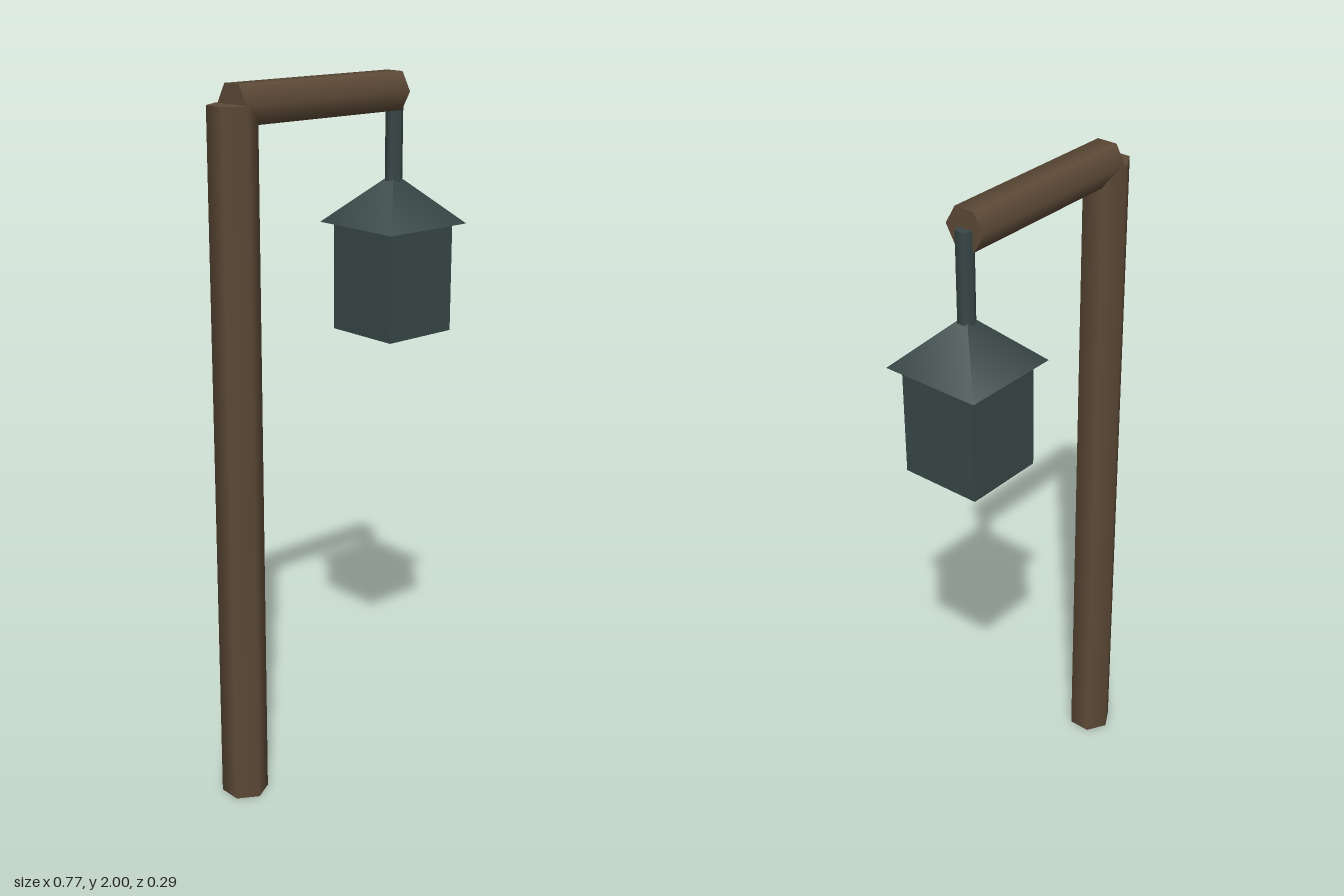
import * as THREE from 'three';

export function createModel() {
  const group = new THREE.Group();
  const wood = new THREE.MeshStandardMaterial({ name: 'brown wood', color: 0x5d4a37 });
  const iron = new THREE.MeshStandardMaterial({ name: 'dark grey-green iron', color: 0x394847 });

  const postX = -0.326, lampX = 0.237;

  const add = (name, geometry, material, x, y) => {
    const mesh = new THREE.Mesh(geometry, material);
    mesh.name = name;
    mesh.position.set(x, y, 0);
    group.add(mesh);
    return mesh;
  };
  const hexRod = (radius, length) => new THREE.CylinderGeometry(radius, radius, length, 6);

  // Upright post and the arm resting on its top
  add('post', hexRod(0.066, 1.949), wood, postX, 0.9745);
  const arm = add('arm', hexRod(0.06, lampX - postX), wood, (postX + lampX) / 2, 1.948);
  arm.rotation.z = Math.PI / 2;

  // Hanger running from the arm down into the lantern roof
  add('hanger', hexRod(0.025, 0.29), iron, lampX, 1.804);

  // Square pyramid roof over a box lantern
  const roof = new THREE.ConeGeometry(0.145 * Math.SQRT2, 0.14, 4).rotateY(Math.PI / 4);
  add('lanternRoof', roof, iron, lampX, 1.652);
  add('lanternBody', new THREE.BoxGeometry(0.235, 0.308, 0.235), iron, lampX, 1.428);

  return group;
}
